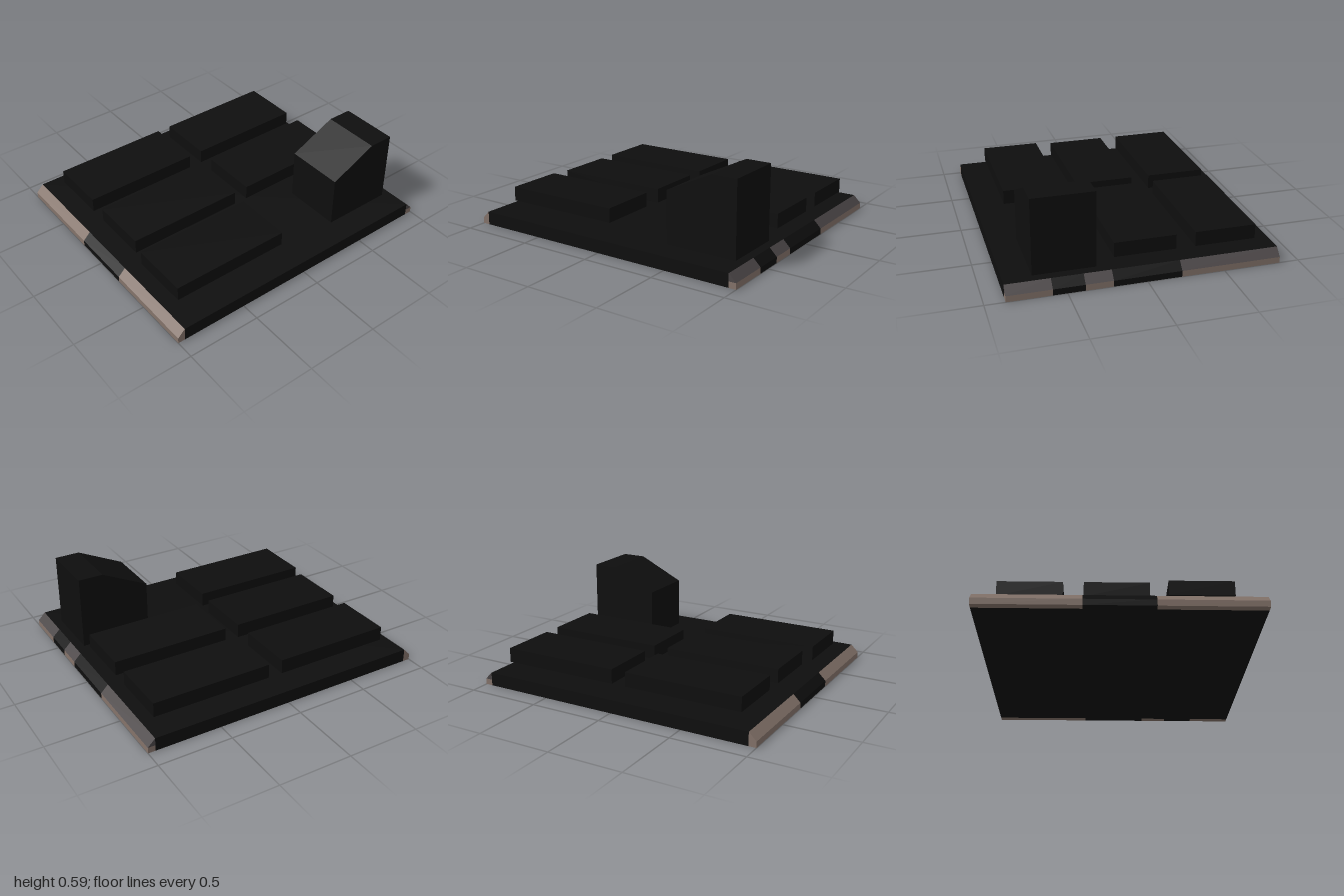
import * as THREE from 'three';

const material = (name, color) => {
  const m = new THREE.MeshStandardMaterial({ color, flatShading: true });
  m.name = name;
  return m;
};

export function createModel() {
  const group = new THREE.Group();
  group.name = 'panelPlatform';
  const black = material('black', 0x0e0e0e);
  const brown = material('warm brown', 0x84736a);
  const grey = material('dark grey', 0x4a4546);

  // Extrudes a [z, y] profile from x0 to x1
  function prism(name, profile, x0, x1, mat) {
    const shape = new THREE.Shape(profile.map(([z, y]) => new THREE.Vector2(z, y)));
    const geo = new THREE.ExtrudeGeometry(shape, { depth: x1 - x0, bevelEnabled: false });
    geo.rotateY(-Math.PI / 2).translate(x1, 0, 0);
    const mesh = new THREE.Mesh(geo, mat);
    mesh.name = name;
    group.add(mesh);
  }

  const W = 0.872, TOP = 0.09, LIP = 0.04, IN = 0.95;

  // Base slab
  prism('baseSlab', [[-IN, 0], [IN, 0], [IN, TOP], [-IN, TOP]], -W, W, black);

  // Front bevelled edge, with a dark gap in the middle
  for (const [x0, x1, mat] of [[-W, -0.22, brown], [-0.22, 0.215, black], [0.215, W, brown]]) {
    prism('frontEdge', [[IN, 0], [1, 0], [1, LIP], [IN, TOP]], x0, x1, mat);
  }

  // Back edge: vertical lip below, bevel above, with two dark gaps
  for (const [x0, x1, gap] of [[-W, -0.22], [-0.22, 0.215, true], [0.215, 0.39], [0.39, 0.59, true], [0.59, W]]) {
    prism('backLip', [[-1, 0], [-IN, 0], [-IN, LIP], [-1, LIP]], x0, x1, gap ? black : brown);
    prism('backBevel', [[-1, LIP], [-IN, LIP], [-IN, TOP]], x0, x1, gap ? black : grey);
  }

  // Floating slabs: [x0, z0, z1]
  const slabs = [
    [-0.742, 0.03, 0.84], [-0.217, 0.03, 0.84], [0.293, 0.045, 0.87],
    [-0.742, -0.89, -0.07], [-0.217, -0.89, -0.07],
  ];
  for (const [x, z0, z1] of slabs) {
    prism('floatingSlab', [[z0, 0.138], [z1, 0.138], [z1, 0.235], [z0, 0.235]], x, x + 0.4, black);
  }

  // Tall console with a sloped front top
  prism('console', [[-0.89, TOP], [-0.4, TOP], [-0.4, 0.437], [-0.72, 0.59], [-0.89, 0.59]], 0.293, 0.693, black);

  return group;
}
